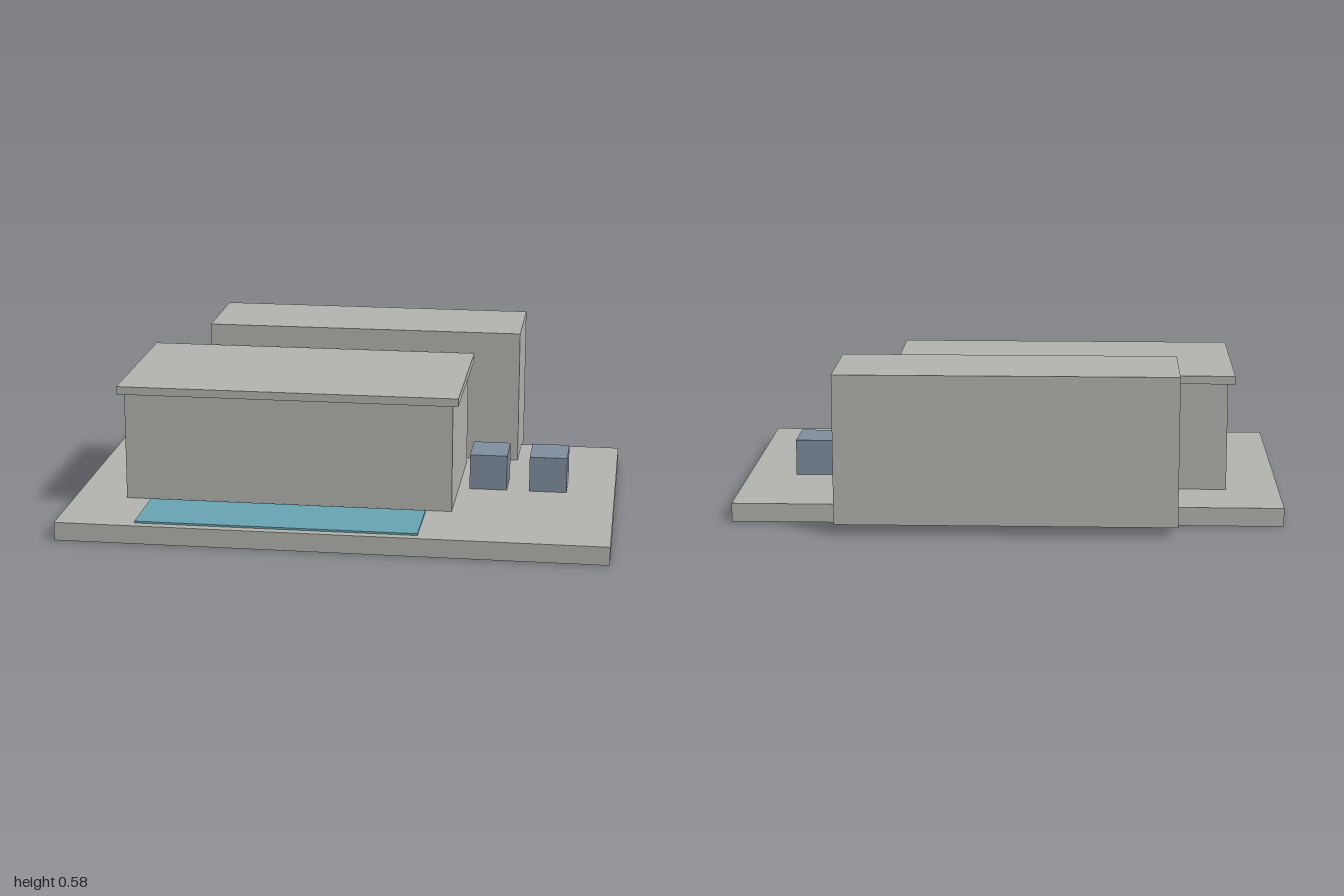
import * as THREE from 'three';

const mat = (name, color) => {
  const m = new THREE.MeshStandardMaterial({ color });
  m.name = name;
  return m;
};

export function createModel() {
  const concrete = mat('concreteGrey', 0xb4b4b0);
  const slate = mat('slateBlue', 0x8290a0);
  const water = mat('waterTeal', 0x6aa5b4);
  const model = new THREE.Group();
  model.name = 'buildingSite';

  // Box given by its minimum and maximum along each axis
  const block = (name, material, [x0, x1], [y0, y1], [z0, z1]) => {
    const mesh = new THREE.Mesh(new THREE.BoxGeometry(x1 - x0, y1 - y0, z1 - z0), material);
    mesh.position.set((x0 + x1) / 2, (y0 + y1) / 2, (z0 + z1) / 2);
    mesh.name = name;
    model.add(mesh);
  };

  const ground = 0.068;
  block('baseSlab', concrete, [-1, 1], [0, ground], [-0.525, 0.693]);

  // Main hall with overhanging roof
  block('mainHall', concrete, [-0.805, 0.413], [ground, 0.472], [-0.26, 0.374]);
  block('roofSlab', concrete, [-0.83, 0.434], [0.472, 0.502], [-0.283, 0.393]);

  // Rear block, overhanging the back of the slab
  block('rearBlock', concrete, [-0.613, 0.61], [0.037, 0.58], [-0.69, -0.305]);

  // Shallow pool along the front
  block('pool', water, [-0.71, 0.318], [ground, 0.075], [0.393, 0.66]);

  // Equipment boxes beside the hall
  for (const x of [0.454, 0.679]) {
    block('equipmentBox', slate, [x, x + 0.141], [ground, 0.202], [-0.088, 0.09]);
  }

  // Stepped connectors between hall and rear block
  for (const x of [-0.49, -0.1]) {
    block('lowerConnector', concrete, [x, x + 0.142], [0.182, 0.248], [-0.279, -0.26]);
    block('upperConnector', concrete, [x, x + 0.142], [0.259, 0.326], [-0.305, -0.279]);
  }
  return model;
}
